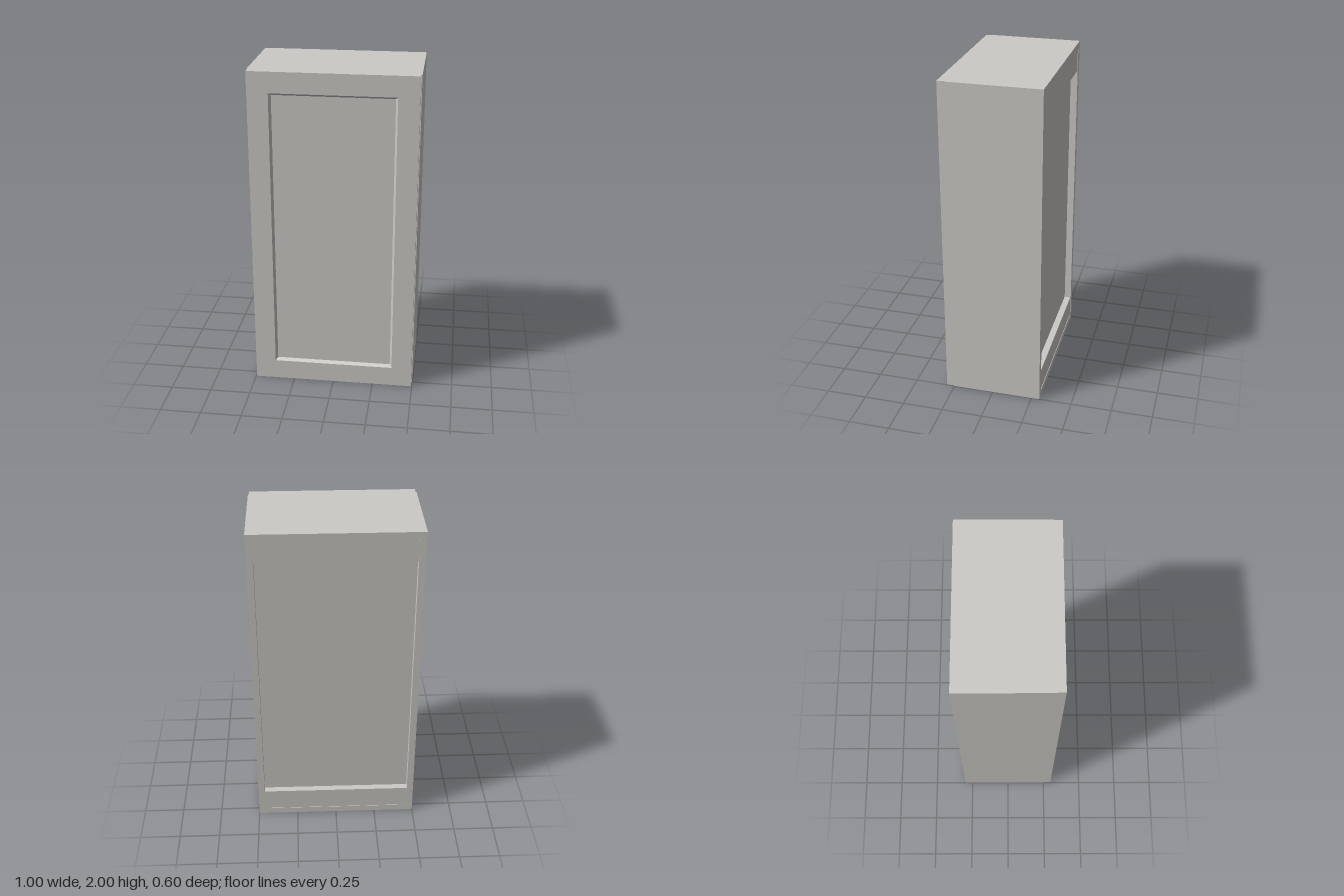
import * as THREE from 'three';

const W = 1, H = 2;
const BACK = -0.3, DOOR_BACK = 0.255, FRONT = 0.3;
const T = 0.04; // board thickness

// Lofts rectangular rings [halfWidth, halfHeight, z] into a flat-faced band
function rectLoft(rings) {
  const corners = [[-1, -1], [1, -1], [1, 1], [-1, 1]];
  const pos = [];
  for (let r = 0; r < rings.length - 1; r++) {
    for (let i = 0; i < 4; i++) {
      const at = (ring, k) => [ring[0] * corners[k % 4][0], ring[1] * corners[k % 4][1], ring[2]];
      const a = at(rings[r], i), b = at(rings[r], i + 1);
      const c = at(rings[r + 1], i + 1), d = at(rings[r + 1], i);
      pos.push(...a, ...b, ...c, ...a, ...c, ...d);
    }
  }
  const geo = new THREE.BufferGeometry();
  geo.setAttribute('position', new THREE.Float32BufferAttribute(pos, 3));
  geo.computeVertexNormals();
  return geo;
}

export function createModel() {
  const model = new THREE.Group();
  model.name = 'wallCabinet';
  const paint = new THREE.MeshStandardMaterial({ color: 0xcccac6 });
  paint.name = 'warm grey paint';

  const add = (parent, name, geo) => {
    const mesh = new THREE.Mesh(geo, paint);
    mesh.name = name;
    parent.add(mesh);
    return mesh;
  };
  // Box given by its minimum and maximum corners
  const board = (parent, name, [x0, y0, z0], [x1, y1, z1]) =>
    add(parent, name, new THREE.BoxGeometry(x1 - x0, y1 - y0, z1 - z0))
      .position.set((x0 + x1) / 2, (y0 + y1) / 2, (z0 + z1) / 2);

  // Carcass: sides, top and bottom boards
  const carcass = new THREE.Group();
  carcass.name = 'carcass';
  model.add(carcass);
  const inner = W / 2 - T;
  board(carcass, 'leftSide', [inner, 0, BACK], [W / 2, H, DOOR_BACK]);
  board(carcass, 'rightSide', [-W / 2, 0, BACK], [-inner, H, DOOR_BACK]);
  board(carcass, 'bottomBoard', [-inner, 0, BACK], [inner, T, DOOR_BACK]);
  board(carcass, 'topBoard', [-inner, H - T, BACK], [inner, H, DOOR_BACK]);

  // Back: recessed panel with a rail above and below, set in by a hair
  const railZ = BACK + 0.003, panelZ = BACK + 0.043;
  board(carcass, 'bottomRail', [-inner, T, railZ], [inner, 0.18, panelZ]);
  board(carcass, 'topRail', [-inner, H - 0.18, railZ], [inner, H - T, panelZ]);
  board(carcass, 'backPanel', [-inner, T, panelZ], [inner, H - T, panelZ + 0.02]);

  // Door: frame with a sloped inner edge around a recessed panel
  const door = new THREE.Group();
  door.name = 'door';
  model.add(door);
  const panelX = 0.357, panelY = 0.861, recess = FRONT - 0.02;
  add(door, 'doorFrame', rectLoft([
    [panelX, panelY, DOOR_BACK],
    [0.495, H / 2, DOOR_BACK],
    [0.495, H / 2, FRONT],
    [0.37, 0.875, FRONT],
    [panelX, panelY, recess],
  ])).position.y = H / 2;
  board(door, 'doorPanel', [-panelX, H / 2 - panelY, DOOR_BACK], [panelX, H / 2 + panelY, recess]);

  return model;
}
